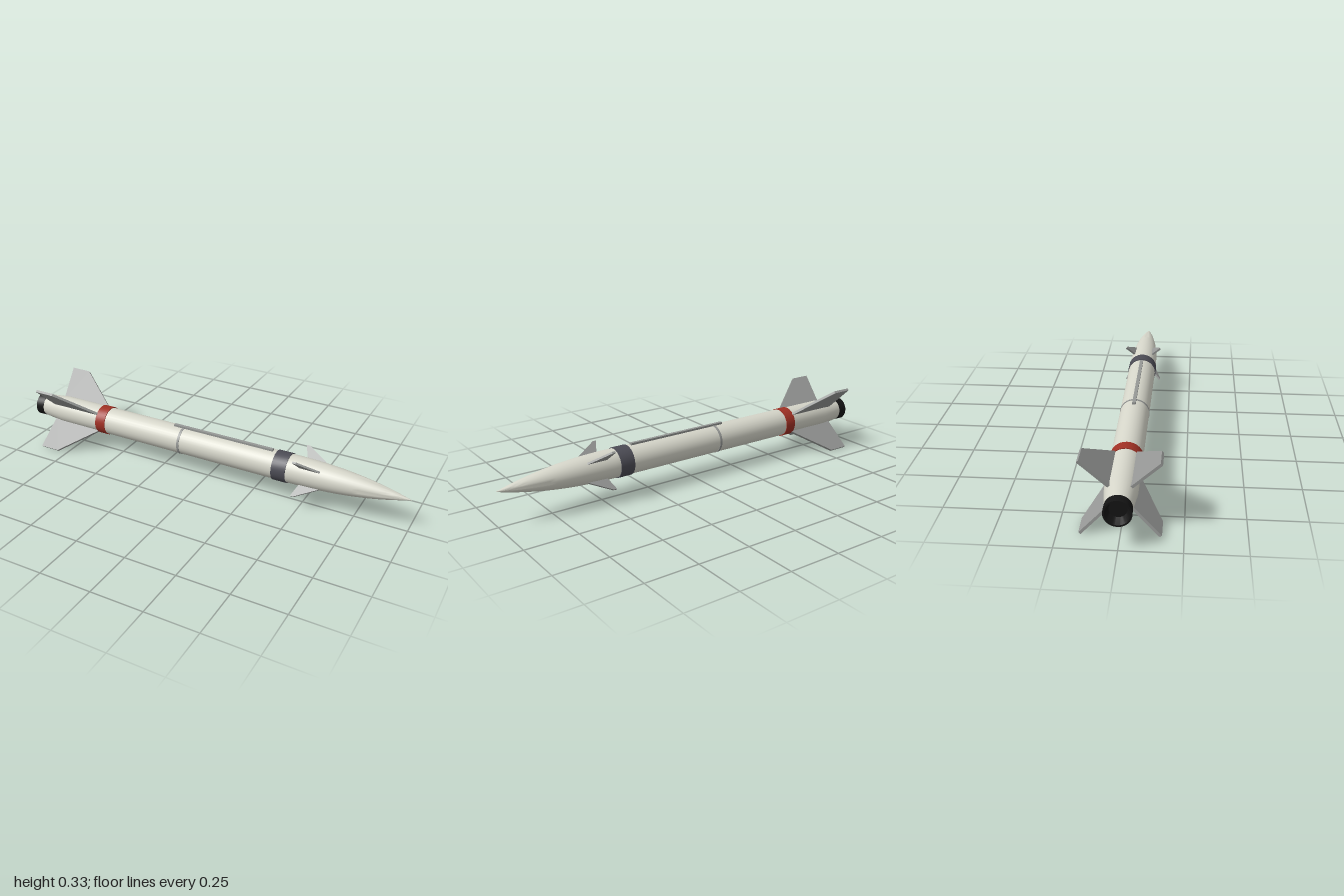
import * as THREE from 'three';
import { toCreasedNormals } from 'three/addons/utils/BufferGeometryUtils.js';

const AXIS_Y = 0.165;

function material(name, color, side = THREE.FrontSide) {
  const m = new THREE.MeshStandardMaterial({ color, side });
  m.name = name;
  return m;
}

export function createModel() {
  const paint = material('bodyPaint', 0xd6d6ca);
  const red = material('redBand', 0xa03024);
  const dark = material('darkBand', 0x4c4c55);
  const grey = material('finGrey', 0x969896);
  const black = material('nozzleBlack', 0x141414);

  const model = new THREE.Group();
  model.name = 'missile';
  // All parts are arranged around the long axis
  const core = new THREE.Group();
  core.name = 'airframe';
  core.position.y = AXIS_Y;
  model.add(core);

  const add = (name, geometry, mat, parent = core) => {
    const mesh = new THREE.Mesh(geometry, mat);
    mesh.name = name;
    parent.add(mesh);
    return mesh;
  };

  // Turned part along x from [x, radius] pairs, listed tail to nose
  const turned = (name, profile, mat) => {
    const points = profile.map(([x, r]) => new THREE.Vector2(r, x));
    const geometry = new THREE.LatheGeometry(points, 32).rotateZ(-Math.PI / 2);
    return add(name, toCreasedNormals(geometry, 0.5), mat);
  };
  const band = (name, x0, x1, r, mat) =>
    turned(name, [[x0, 0.06], [x0, r], [x1, r], [x1, 0.06]], mat);

  // Body tube with tapered tail
  turned('body', [[-0.96, 0], [-0.96, 0.055], [-0.84, 0.068], [0.43, 0.068]], paint);

  // Nose: a full, rounded taper
  const nose = [];
  for (let i = 0; i <= 20; i++) {
    const t = i / 20;
    nose.push([0.43 + 0.57 * t, 0.068 * (1 - t ** 2.35)]);
  }
  turned('nose', nose, paint);

  // Bands and section joint
  band('rearBand', -0.615, -0.56, 0.0715, red);
  band('frontBand', 0.36, 0.43, 0.0715, dark);
  band('sectionJoint', -0.14, -0.128, 0.07, grey);

  // Recessed exhaust nozzle
  turned('nozzle', [
    [-0.965, 0], [-0.965, 0.036], [-1, 0.05], [-1, 0.057], [-0.956, 0.0562], [-0.95, 0],
  ], black);

  // Cable duct along the top
  const duct = add('cableDuct', new THREE.BoxGeometry(0.525, 0.018, 0.016), grey);
  duct.position.set(0.0775, 0.068, 0);

  // Fins: flat plates in [x, radius], four around the axis
  const finSet = (name, outline, thickness) => {
    const shape = new THREE.Shape(outline.map(([x, r]) => new THREE.Vector2(x, r)));
    const geometry = new THREE.ExtrudeGeometry(shape, { depth: thickness, bevelEnabled: false });
    geometry.translate(0, 0, -thickness / 2);
    const set = new THREE.Group();
    set.name = name + 's';
    core.add(set);
    for (let i = 0; i < 4; i++) {
      add(name, geometry, grey, set).rotation.x = Math.PI / 4 + (i * Math.PI) / 2;
    }
  };
  finSet('tailFin', [[-0.88, 0.05], [-0.598, 0.06], [-0.61, 0.07], [-0.8, 0.226], [-0.9, 0.226]], 0.012);
  finSet('canard', [[0.5, 0.05], [0.6, 0.055], [0.585, 0.068], [0.488, 0.125], [0.471, 0.126]], 0.009);

  return model;
}
